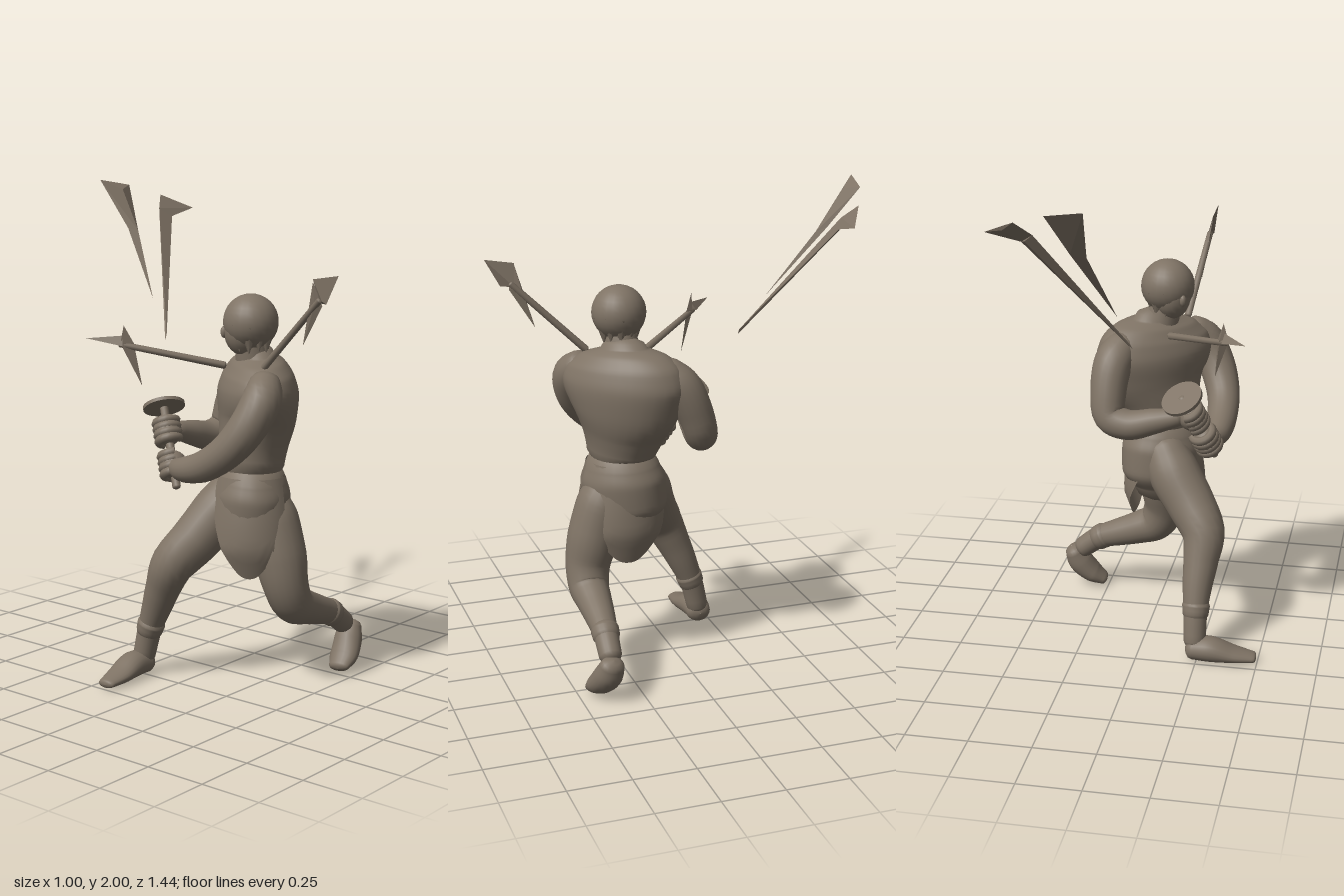
import * as THREE from 'three';
import { ConvexGeometry } from 'three/addons/geometries/ConvexGeometry.js';

const clay = new THREE.MeshStandardMaterial({ color: 0x7f7365 });
clay.name = 'clay brown';
const clayThin = new THREE.MeshStandardMaterial({ color: 0x7f7365, side: THREE.DoubleSide });
clayThin.name = 'clay brown cloth';
const V = (p) => new THREE.Vector3(p[0], p[1], p[2]);

function add(parent, name, geometry, material = clay) {
  const m = new THREE.Mesh(geometry, material);
  m.name = name;
  parent.add(m);
  return m;
}

// Smooth body through rows of [x, y, z, radiusU, radiusV], with rounded ends
function limb(rows, ref, steps = 28, sides = 20) {
  const curve = new THREE.CatmullRomCurve3(rows.map(V));
  const radii = new THREE.CatmullRomCurve3(rows.map((r) => new THREE.Vector3(r[3], r[4] ?? r[3], 0)));
  const pos = [], idx = [], rings = [];
  const ringAt = (t, push, scale) => {
    const p = curve.getPoint(t), tan = curve.getTangent(t), r = radii.getPoint(t);
    const u = new THREE.Vector3().crossVectors(V(ref), tan).normalize();
    const v = new THREE.Vector3().crossVectors(tan, u);
    p.addScaledVector(tan, push * Math.min(r.x, r.y));
    rings.push({ p, u, v, a: r.x * scale, b: r.y * scale });
  };
  const cap = [0.02, 0.5, 0.85];
  cap.forEach((s) => ringAt(0, -0.6 * Math.sqrt(1 - s * s), s));
  for (let i = 0; i <= steps; i++) ringAt(i / steps, 0, 1);
  [...cap].reverse().forEach((s) => ringAt(1, 0.6 * Math.sqrt(1 - s * s), s));
  rings.forEach(({ p, u, v, a, b }, i) => {
    for (let j = 0; j < sides; j++) {
      const t = (j / sides) * Math.PI * 2;
      const q = p.clone().addScaledVector(u, a * Math.cos(t)).addScaledVector(v, b * Math.sin(t));
      pos.push(q.x, q.y, q.z);
      if (i === rings.length - 1) continue;
      const k = i * sides + j, n = i * sides + ((j + 1) % sides);
      idx.push(k, n, k + sides, n, n + sides, k + sides);
    }
  });
  const g = new THREE.BufferGeometry();
  g.setAttribute('position', new THREE.Float32BufferAttribute(pos, 3));
  g.setIndex(idx);
  g.computeVertexNormals();
  return g;
}

// Hanging cloth panel wrapped about the hips, its hem rising in a curve toward both edges
function clothPanel(centreAngle, halfSpan, hem, topR, lowR) {
  const g = new THREE.PlaneGeometry(1, 1, 24, 12), p = g.attributes.position;
  for (let i = 0; i < p.count; i++) {
    const s = p.getX(i) * 2, d = 0.5 - p.getY(i);
    const y = 0.87 - d * (0.87 - hem - 0.24 * Math.abs(s) ** 2.5);
    const k = (0.87 - y) / 0.41;
    const swell = Math.sin(Math.min(1, k * 1.4) * Math.PI / 2);
    const r = topR + (lowR - topR) * swell - 0.14 * Math.max(0, k - 0.7);
    const a = centreAngle - s * halfSpan * (1 - 0.25 * k);
    p.setXYZ(i, -0.035 + r * Math.cos(a), y, 0.205 + r * 1.08 * Math.sin(a));
  }
  g.computeVertexNormals();
  return g;
}

const hull = (pts) => new ConvexGeometry(pts.map(V));

// Fist with four curled fingers and a thumb, around a handle along local y
function fist(parent, name, centre, turn, axis) {
  const g = new THREE.Group();
  g.name = name;
  g.position.copy(centre);
  g.quaternion.setFromUnitVectors(new THREE.Vector3(0, 1, 0), axis);
  add(g, 'palm', new THREE.SphereGeometry(0.057, 18, 12));
  for (let i = 0; i < 4; i++) {
    const f = add(g, 'finger', new THREE.TorusGeometry(0.043, 0.018, 8, 14, Math.PI * 1.2));
    f.rotation.set(Math.PI / 2, 0, turn);
    f.position.y = -0.039 + i * 0.026;
  }
  parent.add(g);
}

export function createModel() {
  const model = new THREE.Group();
  model.name = 'lungingFighter';
  const Z = [0, 0, 1], X = [1, 0, 0], DIAG = [1, 0, 1];

  // Torso and neck, turned toward the -x -z corner
  add(model, 'torso', limb([
    [-0.035, 0.82, 0.21, 0.145, 0.125], [-0.035, 0.9, 0.21, 0.145, 0.125], [-0.02, 1.0, 0.205, 0.18, 0.14],
    [0, 1.1, 0.205, 0.235, 0.155], [0.003, 1.2, 0.205, 0.27, 0.16], [0.003, 1.27, 0.205, 0.25, 0.14],
    [0, 1.32, 0.205, 0.185, 0.105], [-0.002, 1.345, 0.205, 0.1, 0.07],
  ], DIAG, 40, 32));
  add(model, 'neck', limb([[-0.02, 1.3, 0.205, 0.075], [-0.045, 1.42, 0.205, 0.06]], DIAG, 4));

  // Head with hair cap, face, short side locks and nose; local +z is the face
  const head = new THREE.Group();
  head.name = 'head';
  head.position.set(-0.05, 1.48, 0.21);
  head.rotation.y = -Math.PI * 0.75;
  add(head, 'hairCap', new THREE.SphereGeometry(0.11, 24, 16));
  const face = add(head, 'face', new THREE.SphereGeometry(0.085, 20, 14));
  face.scale.set(0.9, 1.15, 0.9);
  face.position.set(0, -0.035, 0.03);
  for (let i = 0; i < 9; i++) {
    const a = Math.PI / 2 + 0.75 + (i / 8) * (Math.PI * 2 - 1.5);
    const lock = add(head, 'hairLock', new THREE.ConeGeometry(0.042, 0.11, 8));
    lock.rotation.x = Math.PI;
    lock.position.set(0.068 * Math.cos(a), -0.06 - 0.008 * (i % 2), 0.068 * Math.sin(a));
  }
  const nose = add(head, 'nose', new THREE.SphereGeometry(0.014, 10, 8));
  nose.scale.y = 1.7;
  nose.position.set(0, -0.04, 0.106);
  model.add(head);

  // Arms
  add(model, 'rearArm', limb([
    [0.11, 1.26, 0.07, 0.07], [0.138, 1.2, 0.01, 0.08], [0.148, 1.1, -0.04, 0.074], [0.135, 1.0, -0.075, 0.066],
    [0.06, 0.975, -0.09, 0.062], [-0.05, 1.0, -0.095, 0.052], [-0.15, 1.025, -0.095, 0.036],
  ], Z));
  add(model, 'foreArmSide', limb([
    [-0.13, 1.255, 0.345, 0.065], [-0.185, 1.2, 0.37, 0.078], [-0.24, 1.1, 0.345, 0.076], [-0.278, 1.0, 0.27, 0.068],
    [-0.287, 0.93, 0.16, 0.062], [-0.285, 0.905, 0.06, 0.05], [-0.265, 0.905, 0, 0.036],
  ], X));

  // Handle with a round guard, held in both fists
  const low = V([-0.28, 0.83, 0.02]), high = V([-0.17, 1.12, -0.14]);
  const axis = high.clone().sub(low).normalize();
  add(model, 'handle', limb([[...low.toArray(), 0.017], [...high.toArray(), 0.017]], Z, 2, 12));
  const guard = add(model, 'guard', new THREE.CylinderGeometry(0.085, 0.085, 0.014, 28));
  guard.position.copy(high);
  guard.quaternion.setFromUnitVectors(new THREE.Vector3(0, 1, 0), axis);
  fist(model, 'lowerFist', low.clone().lerp(high, 0.27), 2.2, axis);
  fist(model, 'upperFist', low.clone().lerp(high, 0.68), 1.2, axis);

  // Hips and hanging cloth
  add(model, 'hips', limb([
    [-0.035, 0.855, 0.21, 0.155, 0.135], [-0.033, 0.78, 0.205, 0.18, 0.155],
    [-0.03, 0.68, 0.195, 0.175, 0.15], [-0.03, 0.61, 0.19, 0.12, 0.11],
  ], DIAG, 20, 28));
  add(model, 'backCloth', clothPanel(0.12, 1.4, 0.46, 0.125, 0.167), clayThin);
  add(model, 'sideCloth', clothPanel(Math.PI * 0.82, 1.0, 0.47, 0.14, 0.18), clayThin);

  // Forward leg, planted
  add(model, 'forwardLeg', limb([
    [-0.05, 0.8, 0.13, 0.09], [-0.105, 0.7, 0.085, 0.108], [-0.178, 0.6, 0.035, 0.102], [-0.245, 0.5, -0.03, 0.09],
    [-0.245, 0.4, -0.08, 0.074], [-0.238, 0.3, -0.125, 0.062], [-0.237, 0.2, -0.165, 0.05], [-0.24, 0.08, -0.195, 0.046],
  ], Z));
  add(model, 'forwardCuff', limb([[-0.238, 0.225, -0.155, 0.058], [-0.238, 0.19, -0.168, 0.054]], Z, 3));
  add(model, 'forwardFoot', limb([
    [-0.23, 0.05, -0.2, 0.046, 0.052], [-0.3, 0.054, -0.202, 0.052, 0.06],
    [-0.4, 0.034, -0.19, 0.032, 0.057], [-0.485, 0.022, -0.182, 0.018, 0.038],
  ], Z));

  // Trailing leg, bent with the heel raised
  add(model, 'trailingLeg', limb([
    [-0.02, 0.78, 0.26, 0.085], [-0.02, 0.68, 0.3, 0.108], [-0.02, 0.55, 0.338, 0.107], [-0.015, 0.43, 0.365, 0.092],
    [0.025, 0.35, 0.372, 0.083], [0.1, 0.315, 0.372, 0.072], [0.2, 0.28, 0.375, 0.06], [0.28, 0.25, 0.38, 0.05],
    [0.36, 0.19, 0.385, 0.046],
  ], Z, 36));
  add(model, 'trailingCuff', limb([[0.262, 0.26, 0.378, 0.057], [0.29, 0.243, 0.38, 0.055]], Z, 3));
  add(model, 'trailingFoot', limb([
    [0.402, 0.17, 0.39, 0.042, 0.05], [0.375, 0.115, 0.4, 0.054, 0.06],
    [0.325, 0.06, 0.415, 0.044, 0.062], [0.275, 0.027, 0.425, 0.024, 0.045],
  ], Z));

  // Two barbed shafts stuck near the neck
  add(model, 'upperShaft', limb([[-0.115, 1.32, 0.33, 0.015], [-0.16, 1.6, 0.62, 0.013]], X, 3, 8));
  add(model, 'upperPoint', hull([
    [-0.18, 1.7, 0.72], [-0.175, 1.68, 0.6], [-0.172, 1.59, 0.66], [-0.15, 1.59, 0.61], [-0.172, 1.6, 0.64]]));
  add(model, 'upperBarb', hull([
    [-0.175, 1.67, 0.6], [-0.155, 1.58, 0.63], [-0.15, 1.58, 0.58], [-0.165, 1.58, 0.6], [-0.14, 1.42, 0.53]]));
  add(model, 'lowerShaft', limb([[-0.08, 1.3, 0.1, 0.015], [-0.35, 1.385, -0.21, 0.012]], Z, 3, 8));
  add(model, 'lowerPoint', hull([
    [-0.44, 1.41, -0.31], [-0.345, 1.42, -0.2], [-0.335, 1.385, -0.22], [-0.36, 1.38, -0.19]]));
  add(model, 'lowerBarb', hull([
    [-0.34, 1.46, -0.2], [-0.36, 1.39, -0.2], [-0.315, 1.39, -0.17], [-0.325, 1.39, -0.2], [-0.3, 1.22, -0.14]]));

  // Two flared shards floating behind
  add(model, 'longShard', hull([
    [0, 1.36, -0.28], [0.01, 1.38, -0.28], [0.31, 1.875, -0.58], [0.36, 1.84, -0.55], [0.34, 1.85, -0.58]]));
  add(model, 'longShardFlare', hull([
    [0.31, 1.875, -0.58], [0.37, 1.93, -0.625], [0.5, 1.87, -0.55], [0.36, 1.84, -0.55], [0.42, 1.89, -0.59]]));
  add(model, 'shortShard', hull([
    [0.04, 1.52, -0.38], [0.11, 1.8, -0.58], [0.17, 1.81, -0.585], [0.14, 1.79, -0.55]]));
  add(model, 'shortShardFlare', hull([
    [0.11, 1.8, -0.58], [0.17, 1.81, -0.585], [0.14, 1.79, -0.55], [0.09, 2.0, -0.72],
    [0.24, 1.975, -0.69], [0.16, 1.96, -0.655]]));
  return model;
}
